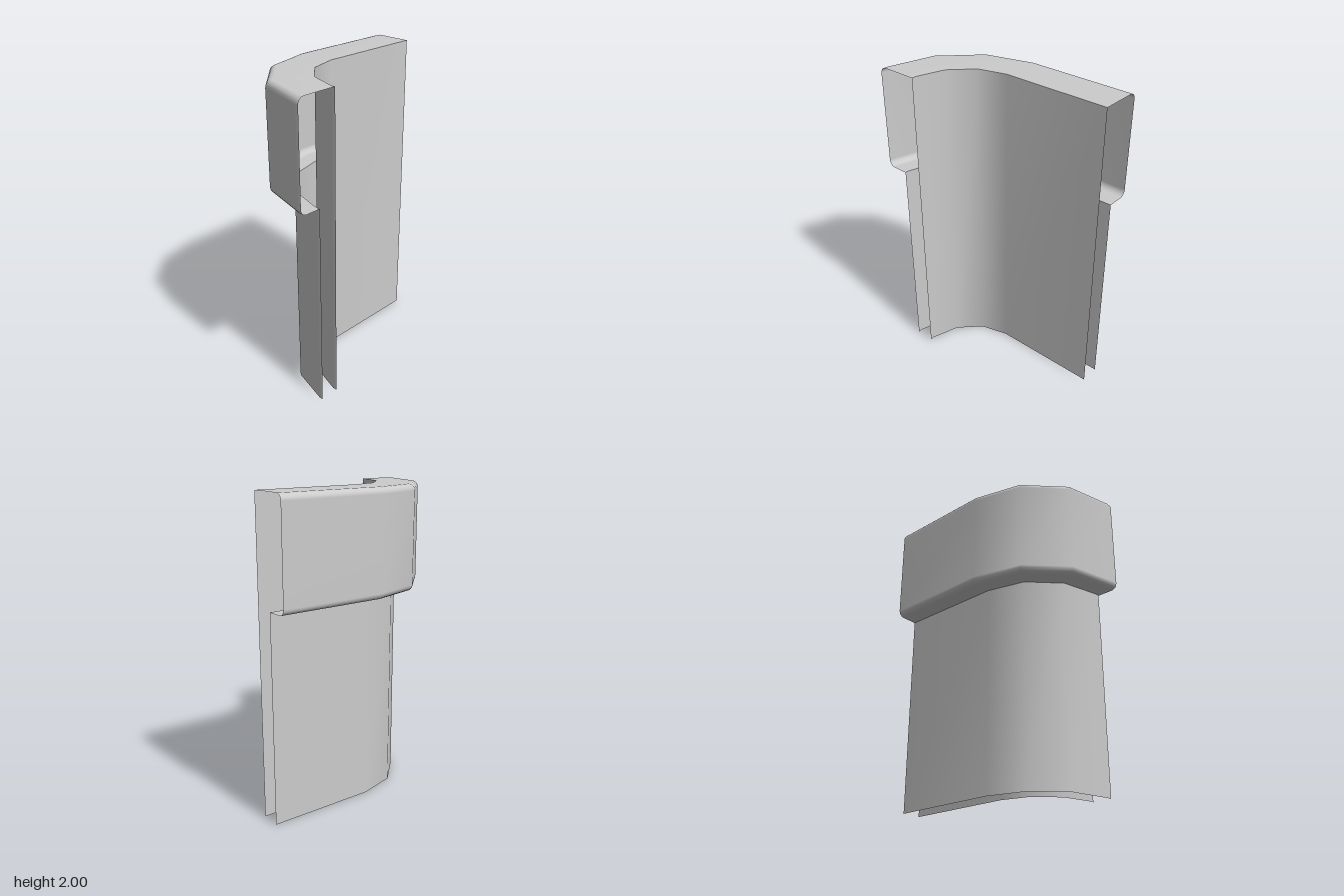
import * as THREE from 'three';

// Plan outlines [x, z] of the inner face and the widest outer face
const inner = [[0.667, -0.064], [-0.03, -0.064], [-0.212, -0.014], [-0.345, 0.12], [-0.402, 0.303], [-0.402, 0.333]];
const outer = [[0.667, -0.333], [-0.03, -0.333], [-0.348, -0.248], [-0.582, -0.016], [-0.667, 0.305], [-0.667, 0.333]];

const material = new THREE.MeshStandardMaterial({ color: 0xcccccc, side: THREE.DoubleSide });

// Sweeps a profile of [t, y] along the plan; t runs from inner (0) to outer (1)
function sweep(name, profile) {
  const positions = [], index = [], n = profile.length;
  inner.forEach(([x, z], i) => {
    for (const [t, y] of profile) {
      positions.push(x + (outer[i][0] - x) * t, y, z + (outer[i][1] - z) * t);
    }
    if (i === 0) return;
    for (let j = 0; j < n - 1; j++) {
      const a = (i - 1) * n + j, b = i * n + j;
      index.push(a, a + 1, b, a + 1, b + 1, b);
    }
  });
  const geometry = new THREE.BufferGeometry();
  geometry.setAttribute('position', new THREE.Float32BufferAttribute(positions, 3));
  geometry.setIndex(index);
  geometry.computeVertexNormals();
  const mesh = new THREE.Mesh(geometry, material);
  mesh.name = name;
  return mesh;
}

export function createModel() {
  const group = new THREE.Group();
  group.name = 'curvedWallSection';
  const top = 2, ledge = 1.335, backT = 0.47, r = 0.04, rt = 0.15, steps = 4;

  // Overhanging cap: flat top, rounded outer edges, underside back to the wall
  const cap = [[0, top]];
  for (let i = 0; i <= steps; i++) {
    const a = (i / steps) * Math.PI / 2;
    cap.push([1 - rt + rt * Math.sin(a), top - r + r * Math.cos(a)]);
  }
  for (let i = 0; i <= steps; i++) {
    const a = (i / steps) * Math.PI / 2;
    cap.push([1 - rt + rt * Math.cos(a), ledge + r - r * Math.sin(a)]);
  }
  cap.push([backT, ledge]);

  group.add(
    sweep('innerWall', [[0, 0], [0, top]]),
    sweep('cap', cap),
    sweep('outerWall', [[backT, ledge], [backT, 0]])
  );
  return group;
}
